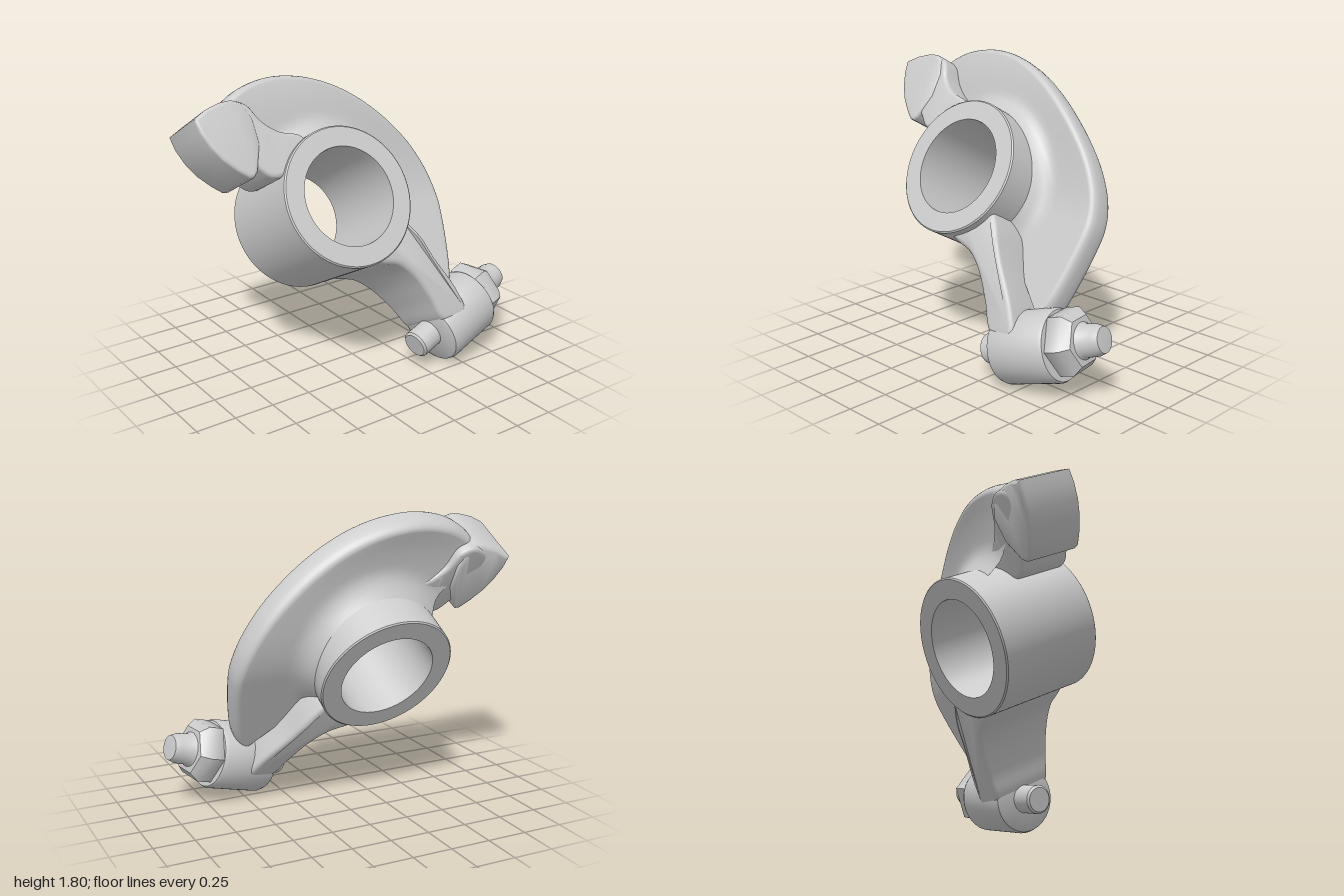
import * as THREE from 'three';
import { toCreasedNormals } from 'three/addons/utils/BufferGeometryUtils.js';

const material = new THREE.MeshStandardMaterial({ color: 0xcccccc });
const TILT = 0.511; // lean of the bore axis above horizontal
const { clamp, smoothstep } = THREE.MathUtils;

function addMesh(parent, name, geometry) {
  const mesh = new THREE.Mesh(geometry, material);
  mesh.name = name;
  parent.add(mesh);
  return mesh;
}

// Smooth closed outline in the (z, y) plane
function smoothOutline(points, count) {
  const curve = new THREE.CatmullRomCurve3(points.map(([z, y]) => new THREE.Vector3(z, y, 0)), true);
  return curve.getPoints(count).slice(0, -1).map((p) => [p.x, p.y]);
}

// Bevelled plate: a (z, y) outline spanning x0..x1
function plate(outline, x0, x1, bevel) {
  const shape = new THREE.Shape(outline.map(([z, y]) => new THREE.Vector2(-z, y)));
  const geometry = new THREE.ExtrudeGeometry(shape, {
    depth: x1 - x0 - 2 * bevel, bevelEnabled: true, bevelSize: bevel,
    bevelThickness: bevel, bevelOffset: -bevel, bevelSegments: 4,
  });
  geometry.translate(0, 0, x0 + bevel);
  geometry.rotateY(Math.PI / 2);
  return geometry;
}

// Move each vertex across the part by a rule x' = rule(x, y)
function reshape(geometry, rule) {
  const pos = geometry.attributes.position;
  for (let i = 0; i < pos.count; i++) pos.setX(i, rule(pos.getX(i), pos.getY(i)));
  return toCreasedNormals(geometry, 0.7);
}

function lathe(profile, segments = 64) {
  const geometry = new THREE.LatheGeometry(profile.map(([r, y]) => new THREE.Vector2(r, y)), segments);
  return toCreasedNormals(geometry, 0.7);
}

// Curved web: radial sections from the hub out to a rim, filleted into the hub
function webGeometry() {
  const rim = new THREE.CatmullRomCurve3([
    [0.66, 0.6], [0.54, 0.7], [0.41, 0.77], [0.21, 0.81], [0.01, 0.79], [-0.19, 0.72],
    [-0.39, 0.6], [-0.59, 0.43], [-0.74, 0.255], [-0.835, 0.075], [-0.87, -0.09],
    [-0.86, -0.24], [-0.815, -0.49], [-0.785, -0.6], [-0.74, -0.7],
  ].map(([z, y]) => new THREE.Vector3(0, y, z)));
  const rows = 90, half = 18, cols = 2 * half + 1, edge = 0.045;
  const positions = [], index = [];
  for (let i = 0; i <= rows; i++) {
    const p = rim.getPoint(i / rows);
    const R = p.length();
    for (let j = 0; j < cols; j++) {
      const k = half - Math.abs(j - half); // 0 at the hub, half at the rim
      const side = j <= half ? 1 : -1;
      let r, round = 1;
      if (k <= 12) r = 0.36 + (R - edge - 0.36) * Math.pow(k / 12, 1.5);
      else {
        const a = ((k - 12) / (half - 12)) * Math.PI / 2;
        r = R - edge + edge * Math.sin(a);
        round = Math.pow(Math.max(0, Math.cos(a)), 0.7);
      }
      const fillet = Math.pow(clamp(1 - (r - 0.4) / 0.14, 0, 1), 2);
      const y = p.y * r / R;
      const centre = -0.06 + 0.18 * smoothstep(y, -0.1, 0.8);
      positions.push(centre + side * (0.09 + 0.12 * fillet) * round, y, p.z * r / R);
    }
  }
  for (let i = 0; i < rows; i++) {
    for (let j = 0; j < cols - 1; j++) {
      const a = i * cols + j, b = a + cols;
      index.push(a, b, a + 1, b, b + 1, a + 1);
    }
  }
  const geometry = new THREE.BufferGeometry();
  geometry.setAttribute('position', new THREE.Float32BufferAttribute(positions, 3));
  geometry.setIndex(index);
  geometry.computeVertexNormals();
  return geometry;
}

// Lower arm, as wide as the hub at the top and tapering to the boss
function lowerArmGeometry() {
  const outline = smoothOutline([
    [-0.03, -0.37], [-0.14, -0.425], [-0.26, -0.465], [-0.36, -0.56], [-0.45, -0.71],
    [-0.53, -0.86], [-0.7, -0.84], [-0.66, -0.7], [-0.52, -0.47], [-0.41, -0.27],
    [-0.33, -0.19], [-0.24, -0.26], [-0.12, -0.335],
  ], 70);
  return reshape(plate(outline, -1, 1, 0.03), (x, y) => {
    const t = clamp((-0.35 - y) / 0.55, 0, 1);
    return -0.02 - 0.027 * t + Math.sign(x) * (0.31 - 0.115 * t - 1 + Math.abs(x));
  });
}

// Contact pad with a curved face, narrowing where its back meets the web
function padGeometry() {
  const outline = [
    [0.81, 0.6], [0.72, 0.645], [0.63, 0.67], [0.56, 0.675], [0.5, 0.65], [0.46, 0.55], [0.46, 0.4],
    [0.52, 0.25], [0.55, 0.222], [0.58, 0.225], [0.64, 0.275], [0.71, 0.35], [0.76, 0.43], [0.795, 0.52],
  ];
  return reshape(plate(outline, -0.066, 0.32, 0.02), (x, y) =>
    x + (x < 0.1 ? 0.045 * smoothstep(y, 0.58, 0.68) : 0));
}

export function createModel() {
  const model = new THREE.Group();
  model.name = 'rockerArm';
  const body = new THREE.Group();
  body.name = 'body';
  body.position.set(-0.05, 1.015, 0.19);
  body.rotation.z = TILT;
  model.add(body);

  // Hub with a through bore
  const hub = addMesh(body, 'hub', lathe([
    [0.297, -0.342], [0.414, -0.342], [0.422, -0.334], [0.422, 0.33], [0.414, 0.338],
    [0.297, 0.338], [0.297, -0.342],
  ], 96));
  hub.rotation.z = -Math.PI / 2;

  addMesh(body, 'web', webGeometry());
  addMesh(body, 'lowerArm', lowerArmGeometry());

  // Upper arm and its contact pad
  addMesh(body, 'upperArm', toCreasedNormals(plate(smoothOutline([
    [0.66, 0.6], [0.56, 0.67], [0.47, 0.64], [0.4, 0.53], [0.31, 0.455], [0.18, 0.41], [0.14, 0.345],
    [0.25, 0.26], [0.345, 0.2], [0.43, 0.2], [0.5, 0.26], [0.58, 0.35],
  ], 90), -0.045, 0.31, 0.025), 0.7));
  addMesh(body, 'contactPad', padGeometry());

  // Adjuster: boss, pin, lock nut and stud along one direction
  const adjuster = new THREE.Group();
  adjuster.name = 'adjuster';
  adjuster.position.set(-0.047, -0.94, -0.39);
  adjuster.rotation.x = -1.245;
  body.add(adjuster);
  const boss = addMesh(adjuster, 'boss', lathe([
    [0, 0.145], [0.185, 0.145], [0.204, 0.155], [0.214, 0.18], [0.214, 0.52], [0.204, 0.54], [0, 0.545],
  ]));
  const pin = addMesh(adjuster, 'pin', lathe([[0, 0], [0.075, 0], [0.088, 0.012], [0.088, 0.2]], 40));
  boss.position.z = pin.position.z = -0.02;
  addMesh(adjuster, 'lockNut', lathe([
    [0, 0.53], [0.185, 0.53], [0.198, 0.545], [0.198, 0.635], [0.15, 0.685], [0, 0.69],
  ], 6));
  addMesh(adjuster, 'stud', lathe([
    [0.12, 0.67], [0.095, 0.7], [0.09, 0.78], [0.075, 0.82], [0, 0.825],
  ], 40));

  return model;
}
